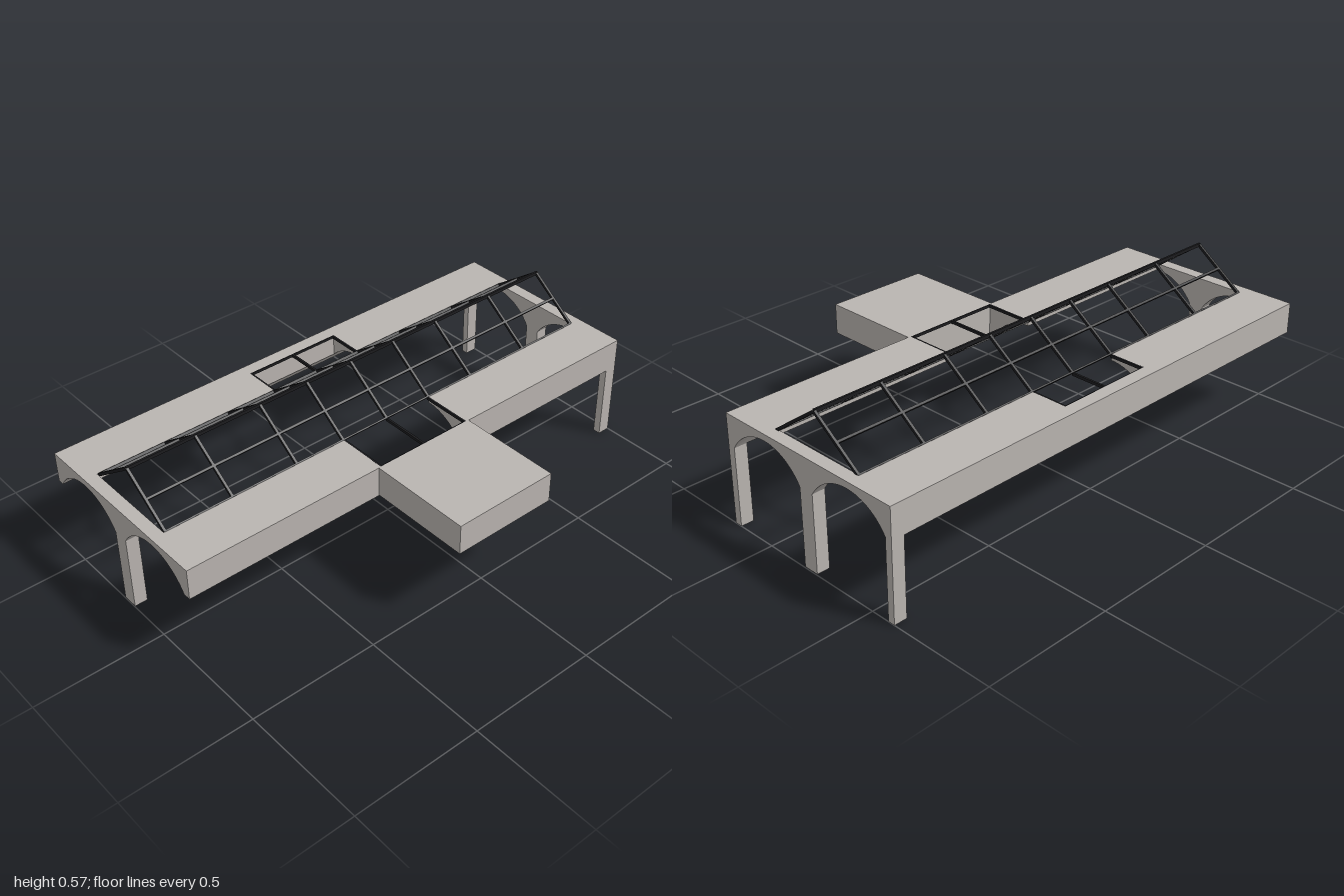
import * as THREE from 'three';
import { toCreasedNormals } from 'three/addons/utils/BufferGeometryUtils.js';

const TOP = 0.42, SPRING = 0.3;
const ARCHES = [-0.405, -0.005]; // vault centre lines in x
const HALF = 0.17, R = 0.2, CY = 0.195;
const X0 = -0.6, X1 = 0.195;

// height of the vaulted underside at x
function underside(x) {
  for (const c of ARCHES) {
    const d = x - c;
    if (Math.abs(d) < HALF) return CY + Math.sqrt(R * R - d * d);
  }
  return SPRING;
}

export function createModel() {
  const model = new THREE.Group();
  model.name = 'vaultedPavilion';
  const concrete = new THREE.MeshStandardMaterial({ color: 0xbab5b1 });
  concrete.name = 'concrete';
  const steel = new THREE.MeshStandardMaterial({ color: 0x1c1c1e });
  steel.name = 'darkSteel';

  function add(parent, name, geometry, material) {
    const mesh = new THREE.Mesh(geometry, material);
    mesh.name = name;
    parent.add(mesh);
    return mesh;
  }

  function box(parent, name, material, x0, x1, y0, y1, z0, z1) {
    const mesh = add(parent, name, new THREE.BoxGeometry(x1 - x0, y1 - y0, z1 - z0), material);
    mesh.position.set((x0 + x1) / 2, (y0 + y1) / 2, (z0 + z1) / 2);
    return mesh;
  }

  // slab piece with flat top and vaulted underside, extruded along z
  function vault(name, x0, x1, z0, z1) {
    const xs = [x0, x1];
    for (const c of ARCHES) {
      for (let i = 0; i <= 32; i++) {
        const x = c - HALF + (2 * HALF * i) / 32;
        if (x > x0 + 1e-4 && x < x1 - 1e-4) xs.push(x);
      }
    }
    xs.sort((a, b) => a - b);
    const shape = new THREE.Shape();
    shape.moveTo(x0, TOP);
    xs.forEach((x) => shape.lineTo(x, underside(x)));
    shape.lineTo(x1, TOP);
    shape.closePath();
    const geometry = new THREE.ExtrudeGeometry(shape, { depth: z1 - z0, bevelEnabled: false });
    geometry.translate(0, 0, z0);
    add(model, name, toCreasedNormals(geometry, 0.4), concrete);
  }

  // arched end beams and the long half-vaults beside the skylight
  const IN = 0.95, CROSS = 0.2;
  vault('frontArch', X0, X1, IN, 1);
  vault('backArch', X0, X1, -1, -IN);
  for (const [end, z0, z1] of [['front', CROSS, IN], ['back', -IN, -CROSS]]) {
    vault(end + 'RightVault', X0, ARCHES[0], z0, z1);
    vault(end + 'LeftVault', ARCHES[1], X1, z0, z1);
  }
  vault('crossOpeningEdge', X0, -0.55, -CROSS, CROSS);

  // side canopy
  box(model, 'sideCanopy', concrete, 0.193, 0.6, 0.302, TOP, -0.21, 0.21);

  // columns: three at the back, one at the front
  box(model, 'frontMiddleColumn', concrete, -0.235, -0.175, 0.004, 0.302, IN, 1);
  box(model, 'backMiddleColumn', concrete, -0.235, -0.175, 0.004, 0.302, -1, -IN);
  box(model, 'backRightColumn', concrete, X0, -0.573, 0, 0.302, -1, -IN);
  box(model, 'backLeftColumn', concrete, 0.165, X1, 0, 0.302, -1, -IN);

  // gabled skylight frame
  const skylight = new THREE.Group();
  skylight.name = 'skylightFrame';
  model.add(skylight);
  const cx = -0.205, half = 0.196, ridgeY = 0.56, eaveY = 0.418;
  const slope = Math.atan2(ridgeY - eaveY, half);
  const length = Math.hypot(half, ridgeY - eaveY);
  const rafterZ = [-0.95, -0.685, -0.41, -0.2, 0, 0.2, 0.405, 0.675, 0.943];
  for (const s of [-1, 1]) {
    for (const z of rafterZ) {
      const rafter = add(skylight, 'rafter', new THREE.BoxGeometry(length, 0.011, 0.01), steel);
      rafter.position.set(cx + (s * half) / 2, (ridgeY + eaveY) / 2, z);
      rafter.rotation.z = -s * slope;
    }
    for (const [name, t, size] of [['eaveBar', 1, 0.006], ['purlin', 0.5, 0.009]]) {
      const bar = add(skylight, name, new THREE.BoxGeometry(size, 0.011, 1.9), steel);
      bar.position.set(cx + s * half * t, ridgeY + (eaveY - ridgeY) * t, -0.003);
      bar.rotation.z = -s * slope;
    }
  }
  box(skylight, 'ridgeBar', steel, cx - 0.004, cx + 0.004, 0.554, 0.567, -0.953, 0.947);

  // flat frames over the cross openings
  const crossFrame = new THREE.Group();
  crossFrame.name = 'crossFrame';
  model.add(crossFrame);
  for (const [x0, x1, edge] of [[-0.55, -0.405, -0.548], [-0.005, 0.193, 0.191]]) {
    for (const z of [-0.197, 0, 0.197]) {
      box(crossFrame, 'crossBar', steel, x0, x1, 0.409, 0.42, z - 0.004, z + 0.004);
    }
    box(crossFrame, 'crossEdgeBar', steel, edge - 0.002, edge + 0.002, 0.409, 0.42, -0.2, 0.2);
  }

  return model;
}
